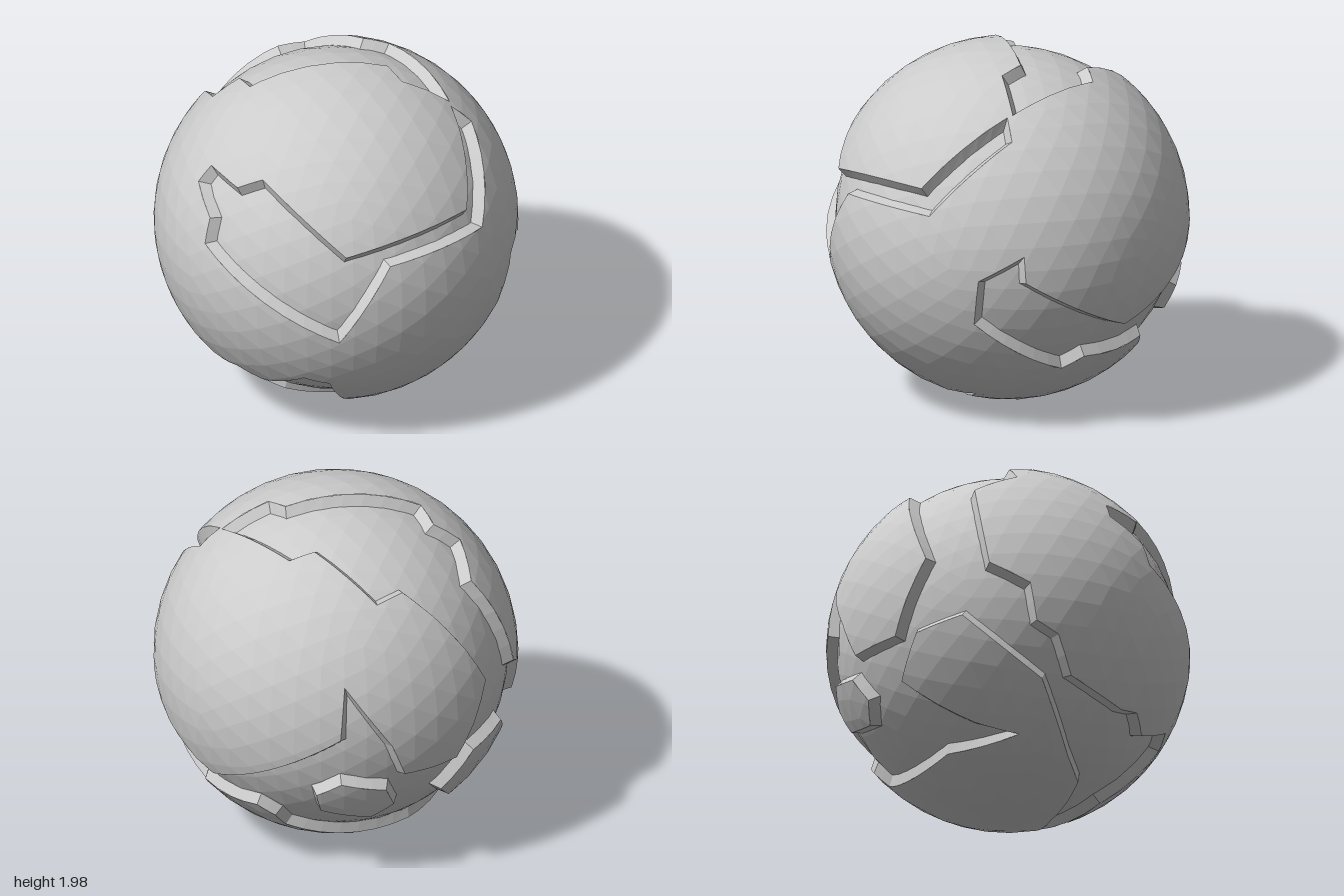
import * as THREE from 'three';

const LAND = 0.992, FLOOR = 0.935, SLOPE = 0.035, CENTRE_Y = 0.985;
const V = (x, y, z) => new THREE.Vector3(x, y, z);
const cross = (a, b) => a.clone().cross(b);
const loop = (pts) => pts.map((p) => V(...p).normalize());

// Narrow bay across the front, clockwise seen from outside
const frontBay = loop([
  [0.73, 0.27, 0.6], [0.2, 0.26, 0.93], [-0.08, -0.19, 0.96], [-0.77, 0.24, 0.565],
  [-0.74, 0.38, 0.53], [-0.79, 0.5, 0.34], [-0.72, 0.6, 0.34], [-0.59, 0.57, 0.54],
  [-0.46, 0.645, 0.59], [-0.04, 0.33, 0.93], [0.64, 0.4, 0.62], [0.61, 0.76, 0.14],
  [0.72, 0.655, 0.14],
]);

// Large sea: over the top, down the back, with arms to the front and the side
const greatSea = loop([
  // back edge of the top plate
  [0.61, 0.775, 0.11], [0.35, 0.92, 0.11], [0.28, 0.95, -0.01], [-0.47, 0.87, 0],
  [-0.51, 0.83, -0.15], [-0.655, 0.72, -0.15], [-0.68, 0.61, -0.4], [-0.9, 0.07, -0.38],
  [-0.97, -0.05, -0.17], [-0.94, -0.255, -0.125], [-0.935, -0.32, 0], [-0.84, -0.51, 0.1],
  // lower front arm, there and back
  [-0.66, -0.59, 0.44], [-0.6, -0.57, 0.55], [-0.45, -0.63, 0.62], [-0.26, -0.505, 0.81],
  [-0.12, -0.55, 0.82], [0.01, -0.84, 0.52], [0.41, -0.865, 0.27], [0.07, -0.95, 0.26],
  [-0.31, -0.89, 0.3], [-0.51, -0.83, 0.18], [-0.82, -0.54, -0.06],
  // peninsula low on the back
  [-0.815, -0.22, -0.51], [-0.625, -0.27, -0.71], [-0.44, -0.48, -0.736],
  [-0.56, -0.73, -0.36], [-0.6, -0.79, -0.12], [-0.32, -0.82, -0.44],
  // side arm, there and back
  [0.376, -0.72, -0.557], [0.446, -0.617, -0.624], [0.543, -0.546, -0.61],
  [0.66, -0.58, -0.45], [0.76, -0.57, -0.25], [0.74, -0.64, -0.13], [0.85, -0.32, 0.38],
  [0.91, -0.06, 0.37], [0.97, 0.08, 0.13], [0.97, -0.07, 0.12], [0.75, -0.4, -0.47],
  // front edge of the back plate
  [0.15, 0.02, -0.96], [0.12, 0.32, -0.92], [-0.13, -0.04, -0.96], [-0.21, -0.25, -0.927],
  [-0.52, -0.255, -0.8], [-0.7, 0.146, -0.68], [-0.25, 0.71, -0.63], [-0.1, 0.69, -0.7],
  [0.19, 0.88, -0.4], [0.33, 0.84, -0.4],
]);

// Six-sided island in the sea
const island = loop([
  [0.265, -0.365, -0.87], [0.14, -0.28, -0.93], [-0.11, -0.35, -0.915],
  [-0.165, -0.485, -0.84], [-0.05, -0.575, -0.79], [0.23, -0.495, -0.81],
]);

const coasts = [
  { pts: frontBay, side: 1 }, { pts: greatSea, side: 1 }, { pts: island, side: -1 },
];
const edges = coasts.flatMap(({ pts }) => pts.map((a, i) => {
  const b = pts[(i + 1) % pts.length];
  const sum = a.clone().add(b);
  return { a, b, n: cross(a, b).normalize(), sum, mid: sum.clone().normalize(), half: a.distanceTo(b) / 2 };
}));

// Land test: count the coasts crossed on the way to a point known to be land
const HOME = V(0.55, 0.1, 0.83).normalize();
function isLand(c) {
  const n = cross(c, HOME), sum = c.clone().add(HOME);
  let hits = 0;
  for (const e of edges) {
    if (e.n.dot(c) * e.n.dot(HOME) >= 0 || n.dot(e.a) * n.dot(e.b) >= 0) continue;
    const x = cross(e.n, n);
    if (x.dot(e.sum) * x.dot(sum) > 0) hits++;
  }
  return hits % 2 === 0;
}

// Cut a convex polygon by a plane through the centre
function split(poly, n) {
  const d = poly.map((p) => n.dot(p));
  if (Math.min(...d) > -1e-6 || Math.max(...d) < 1e-6) return [poly];
  const left = [], right = [];
  poly.forEach((p, i) => {
    const j = (i + 1) % poly.length;
    if (d[i] >= 0) left.push(p);
    if (d[i] <= 0) right.push(p);
    if (d[i] * d[j] < 0) {
      const q = p.clone().lerp(poly[j], d[i] / (d[i] - d[j]));
      left.push(q);
      right.push(q);
    }
  });
  return [left, right].filter((f) => f.length > 2);
}

function meshFrom(name, points, side) {
  const geo = new THREE.BufferGeometry().setFromPoints(points);
  geo.computeVertexNormals();
  const mat = new THREE.MeshStandardMaterial({ color: 0xcccccc, flatShading: true, side });
  const mesh = new THREE.Mesh(geo, mat);
  mesh.name = name;
  return mesh;
}

// Faceted land shell, trimmed along the coasts
function landPlates() {
  const pos = new THREE.IcosahedronGeometry(LAND, 7).getAttribute('position');
  const out = [];
  for (let i = 0; i < pos.count; i += 3) {
    const facet = [0, 1, 2].map((k) => V().fromBufferAttribute(pos, i + k));
    const c = facet[0].clone().add(facet[1]).add(facet[2]).normalize();
    let pieces = [facet];
    for (const e of edges) {
      if (c.distanceTo(e.mid) < e.half + 0.2) pieces = pieces.flatMap((p) => split(p, e.n));
    }
    for (const p of pieces) {
      const m = p.reduce((s, q) => s.add(q), V()).normalize();
      if (!isLand(m)) continue;
      for (let k = 1; k < p.length - 1; k++) out.push(p[0], p[k], p[k + 1]);
    }
  }
  return meshFrom('landPlates', out, THREE.FrontSide);
}

// Sloping cliffs from the land rim down to the sea floor
function cliffs() {
  const out = [];
  for (const { pts, side } of coasts) {
    const count = pts.length;
    const normal = (i) => cross(pts[(i + 1) % count], pts[i % count]).normalize();
    const foot = pts.map((p, i) => {
      const m1 = normal(i + count - 1), m2 = normal(i);
      const k = (side * SLOPE) / Math.max(1 + m1.dot(m2), 0.4);
      return p.clone().addScaledVector(m1.add(m2), k).normalize();
    });
    pts.forEach((a, i) => {
      const j = (i + 1) % count;
      const steps = Math.max(1, Math.ceil(a.distanceTo(pts[j]) / 0.12));
      const at = (p, q, t, r) => p.clone().lerp(q, t).setLength(r);
      for (let s = 0; s < steps; s++) {
        const t = s / steps, u = (s + 1) / steps;
        const r0 = at(a, pts[j], t, LAND - 0.002), r1 = at(a, pts[j], u, LAND - 0.002);
        const f0 = at(foot[i], foot[j], t, FLOOR - 0.006), f1 = at(foot[i], foot[j], u, FLOOR - 0.006);
        out.push(r0, f0, r1, r1, f0, f1);
      }
    });
  }
  return meshFrom('cliffs', out, THREE.DoubleSide);
}

export function createModel() {
  const group = new THREE.Group();
  group.name = 'lowPolyPlanet';
  const seaFloor = new THREE.Mesh(
    new THREE.IcosahedronGeometry(FLOOR, 7),
    new THREE.MeshStandardMaterial({ color: 0xcccccc, flatShading: true }),
  );
  seaFloor.name = 'seaFloor';
  group.add(seaFloor, landPlates(), cliffs());
  group.children.forEach((m) => { m.position.y = CENTRE_Y; });
  return group;
}
